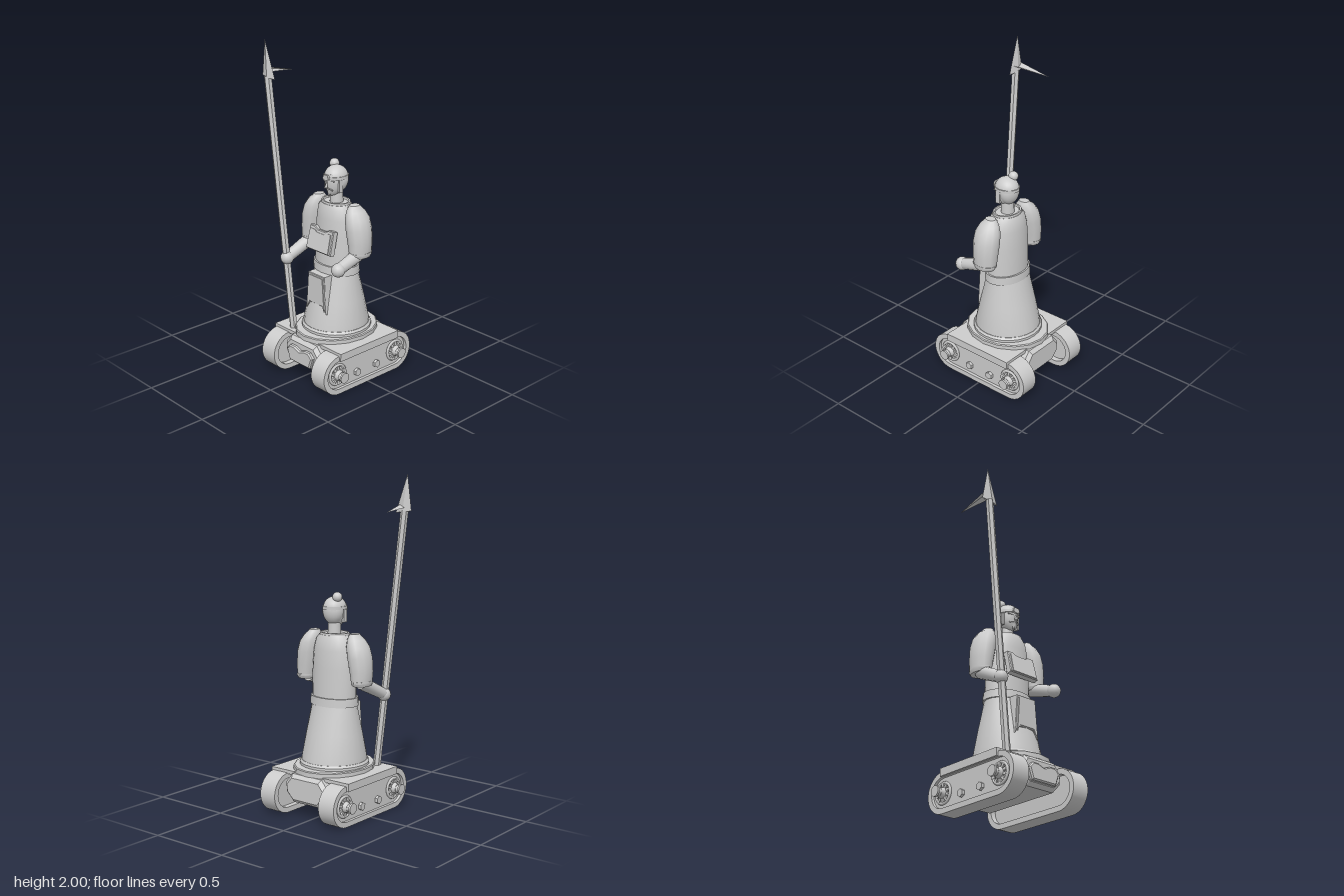
import * as THREE from 'three';
import { toCreasedNormals } from 'three/addons/utils/BufferGeometryUtils.js';

const CX = 0.03; // body centre line

export function createModel() {
  const root = new THREE.Group();
  root.name = 'trackedGuard';
  const stone = new THREE.MeshStandardMaterial({ color: 0xcccccc });
  stone.name = 'pale grey stone';

  const add = (name, geo, x = 0, y = 0, z = 0, parent = root) => {
    const m = new THREE.Mesh(geo, stone);
    m.name = name;
    m.position.set(x, y, z);
    parent.add(m);
    return m;
  };

  // Closed skin over elliptical rings [x, y, z, rx, rz], listed bottom to top
  const loft = (rings, seg = 16, crease = 0.6) => {
    const pos = [], idx = [];
    for (const [x, y, z, rx, rz] of rings)
      for (let j = 0; j < seg; j++) {
        const a = (j / seg) * Math.PI * 2;
        pos.push(x + Math.sin(a) * rx, y, z + Math.cos(a) * rz);
      }
    for (let i = 0; i < rings.length - 1; i++)
      for (let j = 0; j < seg; j++) {
        const a = i * seg + j, b = i * seg + (j + 1) % seg;
        idx.push(a, b, b + seg, a, b + seg, a + seg);
      }
    const last = (rings.length - 1) * seg, c = pos.length / 3;
    pos.push(...rings[0].slice(0, 3), ...rings[rings.length - 1].slice(0, 3));
    for (let j = 0; j < seg; j++) {
      const k = (j + 1) % seg;
      idx.push(c, k, j, c + 1, last + j, last + k);
    }
    const g = new THREE.BufferGeometry();
    g.setAttribute('position', new THREE.Float32BufferAttribute(pos, 3));
    g.setIndex(idx);
    return toCreasedNormals(g, crease);
  };
  const shape = pts => new THREE.Shape(pts.map(p => new THREE.Vector2(...p)));
  const plate = (pts, depth, bevel = 0) => new THREE.ExtrudeGeometry(shape(pts), {
    depth, bevelEnabled: bevel > 0, bevelSize: bevel, bevelThickness: bevel, bevelSegments: 1 });

  // Round bar between two points
  const rod = (name, a, b, ra, rb, seg) => {
    const p = new THREE.Vector3(...a), q = new THREE.Vector3(...b);
    const g = new THREE.CylinderGeometry(rb, ra, p.distanceTo(q), seg);
    const m = add(name, toCreasedNormals(g, seg < 8 ? 0.1 : 0.9));
    m.position.copy(p).lerp(q, 0.5);
    m.quaternion.setFromUnitVectors(new THREE.Vector3(0, 1, 0), q.sub(p).normalize());
    return m;
  };

  // Tracks, built facing +z and turned so that they face outward
  const stadium = (r, Type = THREE.Shape) => {
    const s = new Type(), h = 0.233;
    s.moveTo(-h, -r);
    s.lineTo(h, -r);
    s.absarc(h, 0, r, -Math.PI / 2, Math.PI / 2, false);
    s.lineTo(-h, r);
    s.absarc(-h, 0, r, Math.PI / 2, Math.PI * 1.5, false);
    return s;
  };
  const extrude = (s, depth) => toCreasedNormals(
    new THREE.ExtrudeGeometry(s, { depth, bevelEnabled: false, curveSegments: 12 }), 0.5);
  const wheelDisc = (r, len, sides, r2 = r) => {
    const g = new THREE.CylinderGeometry(r, r2, len, sides);
    g.rotateX(Math.PI / 2);
    return toCreasedNormals(g, 0.8);
  };
  for (const side of [-1, 1]) {
    const t = new THREE.Group();
    t.name = side > 0 ? 'leftTrack' : 'rightTrack';
    t.position.set(CX + side * 0.222, 0.123, 0);
    t.rotation.y = side * Math.PI / 2;
    root.add(t);
    const belt = stadium(0.122);
    belt.holes.push(stadium(0.09, THREE.Path));
    add('trackBelt', extrude(belt, 0.112), 0, 0, -0.056, t);
    add('trackSidePlate', extrude(stadium(0.091), 0.06), 0, 0, -0.022, t);
    for (const z of [-0.236, 0.236]) {
      add('wheelRim', new THREE.TorusGeometry(0.06, 0.009, 6, 20), z, 0, 0.042, t);
      for (let k = 0; k < 5; k++) {
        const spoke = add('wheelSpoke', new THREE.BoxGeometry(0.016, 0.11, 0.014), z, 0, 0.044, t);
        spoke.geometry.translate(0, 0, 0);
        spoke.rotation.z = k * Math.PI / 5;
      }
      add('wheelHub', wheelDisc(0.026, 0.035, 12, 0.036), z, 0, 0.058, t);
      add('axle', wheelDisc(0.021, 0.05, 12, 0.026), z, 0, 0.08, t);
      add('axleCap', wheelDisc(0.032, 0.012, 12), z, 0, 0.1, t);
    }
    for (const z of [-0.08, 0.08]) add('roadWheelBolt', wheelDisc(0.024, 0.02, 6), z, -0.036, 0.046, t);
    add('fenderLip', new THREE.BoxGeometry(0.012, 0.047, 0.474), CX + side * 0.286, 0.2385, 0);
  }
  add('fenderDeck', new THREE.BoxGeometry(0.584, 0.022, 0.474), CX, 0.251, 0);

  // Hull between the tracks with its front panel
  add('hull', plate([[-0.137, 0.19], [-0.1, 0.235], [0.1, 0.235], [0.137, 0.19], [0.132, 0.15],
    [0.09, 0.107], [-0.09, 0.107], [-0.132, 0.15]], 0.515, 0.022), CX, 0, -0.257);
  add('frontPanel', plate([[-0.103, 0.18], [-0.08, 0.204], [-0.045, 0.204], [0, 0.188], [0.045, 0.204],
    [0.08, 0.204], [0.103, 0.18], [0.082, 0.12], [-0.082, 0.12]], 0.025, 0.008), CX, 0, 0.27);

  // Robe
  add('robeFoot', loft([[CX, 0.257, 0, 0.23, 0.265], [CX, 0.285, 0, 0.23, 0.265], [CX, 0.29, 0, 0.224, 0.259]]));
  add('robeHem', loft([[CX, 0.285, 0, 0.208, 0.21], [CX, 0.305, 0, 0.208, 0.21], [CX, 0.318, 0, 0.198, 0.2]], 24));
  add('skirt', loft([[CX, 0.285, 0, 0.197, 0.203], [CX, 0.35, 0, 0.193, 0.193], [CX, 0.48, 0, 0.174, 0.16],
    [CX, 0.58, 0, 0.157, 0.133], [CX, 0.66, 0, 0.145, 0.112]], 24));
  add('waistBelt', loft([[CX, 0.65, 0, 0.158, 0.119], [CX, 0.7, 0, 0.155, 0.116]], 20));
  add('torso', loft([[CX, 0.69, 0, 0.145, 0.106], [CX, 0.87, 0, 0.143, 0.103], [CX, 0.98, 0, 0.134, 0.098],
    [CX, 1.04, 0.002, 0.118, 0.092], [CX, 1.068, 0.003, 0.098, 0.08]], 24));
  add('collar', loft([[CX, 1.06, 0.003, 0.097, 0.079], [CX, 1.08, 0.003, 0.094, 0.075],
    [CX, 1.08, 0.003, 0.083, 0.066], [CX, 1.07, 0.003, 0.08, 0.062]], 20));
  add('neck', new THREE.CylinderGeometry(0.037, 0.04, 0.11, 16), CX, 1.115, 0);

  // Breast plate leans out at the bottom, apron hangs straight
  const breast = [[-0.1, -0.068], [0.1, -0.068], [0.095, 0.066], [0.06, 0.066], [0.035, 0.052],
    [-0.035, 0.052], [-0.06, 0.066], [-0.095, 0.066]];
  add('breastPlate', plate(breast, 0.03, 0.005), CX, 0.853, 0.1).rotation.x = -0.24;
  add('breastPlateFace', plate(breast.map(p => [p[0] * 0.88, p[1] * 0.88]), 0.009), CX, 0.853, 0.131).rotation.x = -0.24;
  const apron = [[-0.085, -0.112], [-0.062, -0.07], [0.062, -0.07], [0.085, -0.112], [0.066, 0.112], [-0.066, 0.112]];
  add('apron', plate(apron, 0.06, 0.004), CX, 0.535, 0.1);
  add('apronFace', plate(apron.map(p => [p[0] * 0.85, p[1] * 0.92]), 0.004), CX, 0.535, 0.164);

  // Head
  add('face', loft([[CX, 1.118, 0.03, 0.018, 0.024], [CX, 1.135, 0.018, 0.04, 0.045], [CX, 1.165, 0.008, 0.056, 0.064],
    [CX, 1.2, 0.006, 0.06, 0.07], [CX, 1.25, 0.006, 0.06, 0.068]], 20, 1.2));
  const cap = add('hairCap', new THREE.SphereGeometry(1, 20, 12, 0, Math.PI * 2, 0, Math.PI / 2), CX, 1.222, 0.004);
  cap.scale.set(0.067, 0.07, 0.075);
  const back = add('backHair', new THREE.SphereGeometry(1, 20, 14), CX, 1.208, -0.012);
  back.scale.set(0.066, 0.08, 0.056);
  add('headband', loft([[CX, 1.218, 0.004, 0.07, 0.078], [CX, 1.236, 0.004, 0.07, 0.078]], 20));
  add('headbandPeak', plate([[-0.025, 0], [0, -0.01], [0.025, 0], [0.016, 0.024], [-0.016, 0.024]], 0.014),
    CX, 1.222, 0.074);
  add('topKnot', new THREE.SphereGeometry(0.029, 16, 12), -0.004, 1.291, -0.015);
  const nose = add('nose', new THREE.ConeGeometry(0.013, 0.045, 4), CX, 1.192, 0.078);
  nose.rotation.x = -0.2;
  const beard = add('beard', new THREE.ConeGeometry(0.018, 0.045, 6), CX, 1.126, 0.058);
  beard.rotation.x = Math.PI - 0.2;
  for (const s of [-1, 1]) {
    const brow = add('brow', new THREE.BoxGeometry(0.034, 0.008, 0.02), CX + s * 0.027, 1.208, 0.063);
    brow.rotation.set(0, s * 0.4, s * 0.15);
    const moustache = add('moustache', new THREE.BoxGeometry(0.032, 0.007, 0.016), CX + s * 0.018, 1.16, 0.064);
    moustache.rotation.set(0, s * 0.3, -s * 0.3);
    add('sideburn', new THREE.BoxGeometry(0.012, 0.075, 0.028), CX + s * 0.058, 1.178, 0.022);
  }

  // Arms with wide sleeves
  for (const s of [-1, 1]) {
    const x = d => CX + s * d;
    add(s > 0 ? 'leftSleeve' : 'rightSleeve', loft([
      [x(0.204), 0.8, 0, 0.056, 0.074], [x(0.2), 0.87, 0, 0.066, 0.079], [x(0.189), 0.95, 0, 0.071, 0.083],
      [x(0.176), 1.01, 0, 0.066, 0.078], [x(0.162), 1.052, 0, 0.05, 0.06], [x(0.153), 1.07, 0, 0.036, 0.044],
      [x(0.151), 1.084, 0, 0.027, 0.034]], 12, 0.8));
    add('cuff', loft([[x(0.205), 0.785, 0, 0.05, 0.066], [x(0.204), 0.803, 0, 0.058, 0.077],
      [x(0.204), 0.815, 0, 0.058, 0.077]], 12));
    const hand = s > 0 ? [0.236, 0.745, 0.178] : [-0.192, 0.703, 0.195];
    rod(s > 0 ? 'leftForearm' : 'rightForearm', [x(0.2), 0.8, 0], hand, 0.04, 0.034, 12);
    add(s > 0 ? 'leftHand' : 'rightHand', new THREE.SphereGeometry(0.041, 14, 10), ...hand);
  }

  // Spear with a flat head and a side blade
  rod('spearShaft', [-0.143, 0.24, 0.19], [-0.308, 1.79, 0.222], 0.023, 0.023, 6);
  const blade = (name, base, tip) => {
    const g = new THREE.BufferGeometry();
    g.setAttribute('position', new THREE.Float32BufferAttribute([...base, ...tip].flat(), 3));
    g.setIndex([0, 1, 4, 1, 2, 4, 2, 3, 4, 3, 0, 4, 0, 2, 1, 0, 3, 2]);
    add(name, toCreasedNormals(g, 0.1));
  };
  blade('spearHead', [[-0.36, 1.79, 0.217], [-0.3, 1.782, 0.237], [-0.248, 1.777, 0.219], [-0.306, 1.785, 0.203]],
    [[-0.326, 2, 0.224]]);
  blade('sideBlade', [[-0.356, 1.825, 0.22], [-0.318, 1.842, 0.22], [-0.278, 1.825, 0.22], [-0.318, 1.81, 0.22]].reverse(),
    [[-0.343, 1.79, -0.003]]);
  return root;
}
